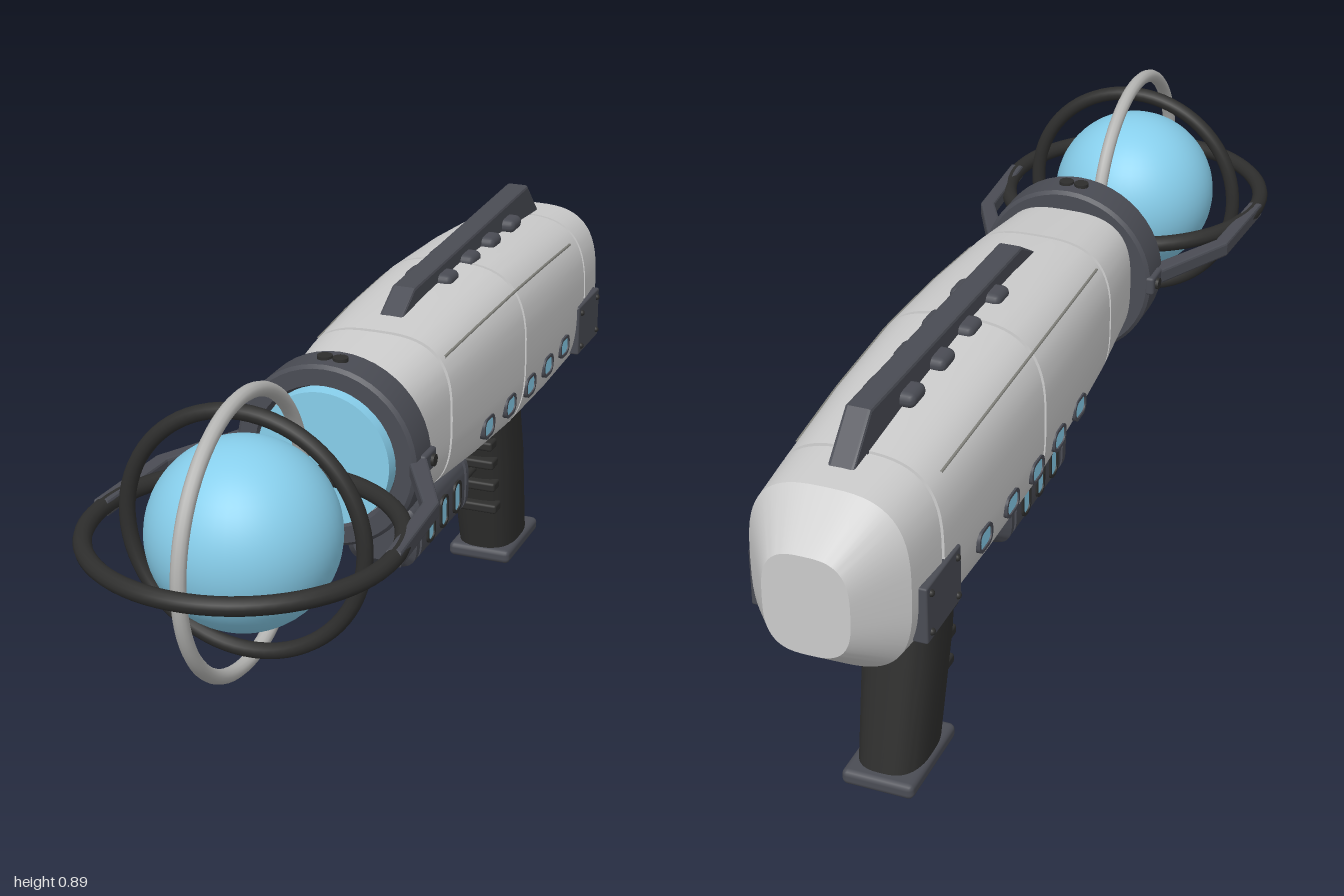
import * as THREE from 'three';
import { toCreasedNormals } from 'three/addons/utils/BufferGeometryUtils.js';
import { RoundedBoxGeometry } from 'three/addons/geometries/RoundedBoxGeometry.js';

const mat = (color) => new THREE.MeshStandardMaterial({ color });
const LIGHT = mat(0xcccccc), DARK = mat(0x4a4c54), BLACK = mat(0x2e2e2d), STEEL = mat(0x85857f), BLUE = mat(0x87ceeb);
const AXIS = 0.62; // height of the barrel axis

// Closed loft of superellipse sections [z, halfWidth, yBottom, yTop], listed from front to back
function loft(sections, n, seg = 64) {
  const pos = [], idx = [];
  for (const [z, w, y0, y1] of sections) {
    for (let j = 0; j < seg; j++) {
      const t = (j / seg) * Math.PI * 2, c = Math.cos(t), s = Math.sin(t);
      pos.push(w * Math.sign(c) * Math.abs(c) ** (2 / n),
        (y0 + y1) / 2 + ((y1 - y0) / 2) * Math.sign(s) * Math.abs(s) ** (2 / n), z);
    }
  }
  const last = sections.length - 1, front = sections.length * seg, back = front + 1;
  for (const k of [0, last]) pos.push(0, (sections[k][2] + sections[k][3]) / 2, sections[k][0]);
  for (let j = 0; j < seg; j++) {
    const j1 = (j + 1) % seg;
    for (let i = 0; i < last; i++) {
      const a = i * seg + j, b = i * seg + j1;
      idx.push(a, a + seg, b, b, a + seg, b + seg);
    }
    idx.push(front, j, j1, back, last * seg + j1, last * seg + j);
  }
  const g = new THREE.BufferGeometry();
  g.setAttribute('position', new THREE.Float32BufferAttribute(pos, 3));
  g.setIndex(idx);
  return toCreasedNormals(g, 0.5);
}

// Outline in (z, y) extruded across x and centred on x = 0
function sideExtrude(shape, width, bevel = 0) {
  const g = new THREE.ExtrudeGeometry(shape, {
    depth: width - 2 * bevel, bevelEnabled: bevel > 0, bevelSize: bevel, bevelThickness: bevel,
    bevelOffset: -bevel, bevelSegments: 2, curveSegments: 8,
  });
  return g.translate(0, 0, bevel - width / 2).rotateY(-Math.PI / 2);
}

function roundedRect(w, h, r, Type = THREE.Shape) {
  const s = new Type(), x = w / 2 - r, y = h / 2 - r;
  s.absarc(x, y, r, 0, Math.PI / 2);
  s.absarc(-x, y, r, Math.PI / 2, Math.PI);
  s.absarc(-x, -y, r, Math.PI, Math.PI * 1.5);
  s.absarc(x, -y, r, Math.PI * 1.5, Math.PI * 2);
  s.closePath();
  return s;
}

const polygon = (pts) => new THREE.Shape(pts.map(([x, y]) => new THREE.Vector2(x, y)));

// Main hull sections
const HULL = [
  [0.26, 0.143, 0.468, 0.765], [0.08, 0.16, 0.447, 0.785], [-0.12, 0.17, 0.428, 0.798],
  [-0.33, 0.175, 0.413, 0.803], [-0.56, 0.171, 0.405, 0.793], [-0.79, 0.161, 0.402, 0.773],
  [-0.905, 0.152, 0.408, 0.765], [-1, 0.082, 0.485, 0.685],
];

function hullAt(z) {
  const i = Math.max(0, HULL.findIndex((s, k) => k < HULL.length - 1 && z >= HULL[k + 1][0]));
  const a = HULL[i], b = HULL[i + 1], t = (a[0] - z) / (a[0] - b[0]);
  return a.map((v, k) => v + (b[k] - v) * t);
}

// Half width of the hull at a given height and depth
function hullX(y, z) {
  const [, w, y0, y1] = hullAt(z);
  const d = Math.min(1, Math.abs(y - (y0 + y1) / 2) / ((y1 - y0) / 2));
  return w * (1 - d ** 3) ** (1 / 3);
}

// Cuts narrow grooves into a list of sections
function grooved(sections, at, seams, depth, half) {
  const out = sections.filter((s) => !seams.some((z) => Math.abs(s[0] - z) < 0.01));
  for (const z of seams) {
    for (const [o, d] of [[half, 0], [half * 0.9, depth], [-half * 0.9, depth], [-half, 0]]) {
      const [, w, y0, y1] = at(z + o);
      out.push([z + o, w - d, y0 + d, y1 - d]);
    }
  }
  return out.sort((a, b) => b[0] - a[0]);
}

export function createModel() {
  const model = new THREE.Group();
  const add = (name, geo, material, x = 0, y = 0, z = 0, parent = model) => {
    const m = new THREE.Mesh(geo, material);
    m.name = name;
    m.position.set(x, y, z);
    parent.add(m);
    return m;
  };
  const box = (w, h, d, r = 0.006) => new RoundedBoxGeometry(w, h, d, 2, r);

  // Hull with panel seams
  add('hull', loft(grooved(HULL, hullAt, [0.08, -0.33, -0.79], 0.005, 0.005), 3), LIGHT);
  for (const s of [1, -1]) {
    const pts = [];
    for (let z = 0.06; z > -0.78; z -= 0.04) {
      const [, , y0, y1] = hullAt(z), y = (y0 + y1) / 2 + (y1 - y0) * 0.37;
      pts.push(new THREE.Vector3(s * hullX(y, z), y, z));
    }
    add('panelSeam', new THREE.TubeGeometry(new THREE.CatmullRomCurve3(pts), 40, 0.003, 6), STEEL);
  }

  // Side windows: dark rim around a blue pane
  function sideWindow(w, h, x, y, z, rimColor) {
    const rim = roundedRect(w, h, Math.min(w, h) * 0.42);
    rim.holes.push(roundedRect(w - 0.012, h - 0.012, Math.min(w, h) * 0.32, THREE.Path));
    const g = new THREE.Group();
    g.name = 'sideWindow';
    g.position.set(x, y, z);
    add('windowRim', sideExtrude(rim, 0.02), rimColor, 0, 0, 0, g);
    add('windowPane', sideExtrude(roundedRect(w - 0.01, h - 0.01, Math.min(w, h) * 0.32), 0.014), BLUE, 0, 0, 0, g);
    model.add(g);
  }
  for (const s of [1, -1]) {
    for (let i = 0; i < 5; i++) {
      const z = -0.12 - i * 0.125;
      sideWindow(0.064, 0.046, s * (hullX(0.53, z) - 0.004), 0.53, z, DARK);
    }
    // Riveted rear plate
    add('rearPlate', box(0.03, 0.115, 0.152, 0.004), DARK, s * 0.154, 0.527, -0.806);
    for (const dy of [-0.04, 0.04]) for (const dz of [-0.058, 0.058]) {
      add('rivet', new THREE.SphereGeometry(0.007, 10, 8), BLACK, s * 0.169, 0.527 + dy, -0.806 + dz);
    }
  }

  // Top rail with side tabs
  const rail = polygon([[0.01, 0.785], [-0.065, 0.83], [-0.77, 0.846], [-0.85, 0.765], [-0.4, 0.77]]);
  add('topRail', sideExtrude(rail, 0.05, 0.006), DARK);
  for (const z of [-0.225, -0.36, -0.49, -0.625]) {
    add('railTab', box(0.105, 0.03, 0.062, 0.014), DARK, 0, 0.8, z);
  }

  // Front collar and lens
  const collar = [[0.12, 0.252], [0.178, 0.252], [0.185, 0.259], [0.185, 0.333], [0.178, 0.34], [0.145, 0.34], [0.138, 0.32]];
  const collarGeo = new THREE.LatheGeometry(collar.map(([r, z]) => new THREE.Vector2(r, z)), 48);
  add('collar', toCreasedNormals(collarGeo.rotateX(Math.PI / 2), 0.5), DARK, 0, AXIS, 0).material =
    Object.assign(DARK.clone(), { side: THREE.DoubleSide });
  add('lens', new THREE.CylinderGeometry(0.135, 0.14, 0.07, 48).rotateX(Math.PI / 2), BLUE, 0, AXIS, 0.314);
  for (const x of [-0.016, 0.016]) {
    add('collarBolt', new THREE.CylinderGeometry(0.015, 0.015, 0.02, 16), BLACK, x, 0.8, 0.297);
  }

  // Arms that carry the rings
  for (const s of [1, -1]) {
    const arm = polygon([[0.165, 0.26], [0.187, 0.29], [0.285, 0.48], [0.298, 0.7], [0.27, 0.7], [0.256, 0.49], [0.15, 0.3]].map(([x, z]) => [s * x, z]));
    const armGeo = new THREE.ExtrudeGeometry(arm, {
      depth: 0.022, bevelSize: 0.005, bevelThickness: 0.005, bevelOffset: -0.005, bevelSegments: 2,
    });
    add('ringArm', armGeo.rotateX(Math.PI / 2), DARK, 0, AXIS + 0.011, 0);
    add('armMount', box(0.02, 0.04, 0.06), DARK, s * 0.184, AXIS, 0.282);
    add('armPin', new THREE.CylinderGeometry(0.012, 0.012, 0.02, 16).rotateZ(Math.PI / 2), BLACK, s * 0.19, AXIS, 0.275);
  }

  // Energy sphere inside three crossed rings
  add('energySphere', new THREE.SphereGeometry(0.177, 48, 32), BLUE, 0, AXIS, 0.7);
  add('horizontalRing', new THREE.TorusGeometry(0.283, 0.017, 12, 72).rotateX(Math.PI / 2), BLACK, 0, AXIS, 0.7);
  add('crossRing', new THREE.TorusGeometry(0.231, 0.015, 12, 72), BLACK, 0, AXIS, 0.7);
  add('uprightRing', new THREE.TorusGeometry(0.257, 0.014, 12, 72).rotateY(Math.PI / 2), mat(0xb4b4b2), 0, AXIS, 0.7);

  // Chain below the collar
  for (let i = 0; i < 4; i++) {
    add('chainLink', new THREE.TorusGeometry(0.028, 0.007, 10, 28).rotateY(Math.PI / 2), STEEL, 0, 0.398, 0.343 + i * 0.05);
  }

  // Canister under the barrel
  const tank = [[0.072, 0.057, 0.283, 0.385], [0.052, 0.077, 0.263, 0.405], [-0.255, 0.077, 0.263, 0.405], [-0.28, 0.055, 0.285, 0.385]];
  add('canister', loft(grooved(tank, () => tank[1], [0.028, -0.235], 0.006, 0.006), 4, 48), DARK);
  for (const s of [1, -1]) for (const z of [-0.025, -0.102, -0.18]) {
    sideWindow(0.045, 0.072, s * 0.071, 0.331, z, BLACK);
  }
  add('canisterFoot', box(0.034, 0.03, 0.04), DARK, 0, 0.259, -0.015);
  add('canisterMount', box(0.06, 0.06, 0.2), DARK, 0, 0.415, -0.1);
  add('gripRod', new THREE.CylinderGeometry(0.008, 0.008, 0.28, 12).rotateX(Math.PI / 2), BLACK, 0, 0.252, -0.38);
  add('rodEnd', box(0.02, 0.04, 0.03), DARK, 0, 0.265, -0.25);

  // Trigger
  const trigger = polygon([[-0.405, 0.43], [-0.405, 0.39], [-0.425, 0.31], [-0.437, 0.312], [-0.426, 0.39], [-0.426, 0.43]]);
  add('trigger', sideExtrude(trigger, 0.024, 0.003), DARK);

  // Slanted grip with finger ridges and a foot plate
  const grip = [[0.43, 0.072, 0.465, 0.655], [0.25, 0.075, 0.503, 0.692], [0.03, 0.067, 0.552, 0.74]];
  add('grip', loft(grip, 2.8, 48).rotateX(-Math.PI / 2), BLACK);
  for (const y of [0.325, 0.275, 0.215, 0.155]) {
    add('fingerRidge', box(0.11, 0.022, 0.04), BLACK, 0, y, -0.485 - (0.325 - y) * 0.22);
  }
  add('footPlate', box(0.148, 0.033, 0.215, 0.012), DARK, 0, 0.0165, -0.652);
  return model;
}
